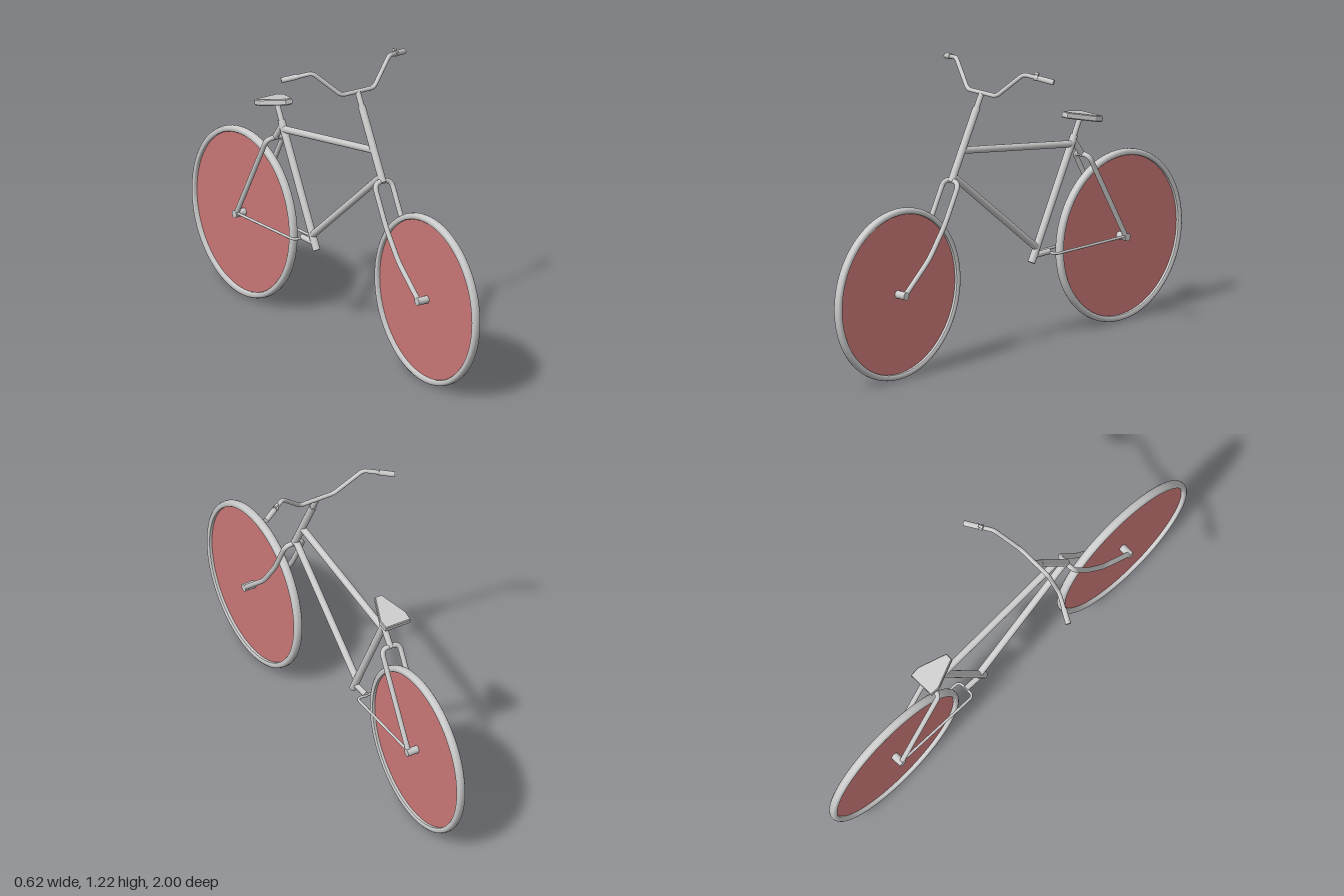
import * as THREE from 'three';

const grey = new THREE.MeshStandardMaterial({ color: 0xcccccc });
const red = new THREE.MeshStandardMaterial({ color: 0xcc7777 });
const V = (x, y, z) => new THREE.Vector3(x, y, z);

const AXLE_Y = 0.36, AXLE_Z = 0.643, WHEEL_R = 0.357, STAY_X = 0.042;

function mesh(name, geometry, material = grey) {
  const m = new THREE.Mesh(geometry, material);
  m.name = name;
  return m;
}

// Straight capped rod between two points
function rod(name, a, b, radius, radiusEnd = radius) {
  const dir = b.clone().sub(a);
  const m = mesh(name, new THREE.CylinderGeometry(radiusEnd, radius, dir.length(), 20));
  m.position.copy(a).add(b).multiplyScalar(0.5);
  m.quaternion.setFromUnitVectors(V(0, 1, 0), dir.normalize());
  return m;
}

// Bent tube: straight runs joined by rounded corners
function bentTube(name, points, radius, corner) {
  const path = new THREE.CurvePath();
  let from = points[0];
  for (let i = 1; i < points.length - 1; i++) {
    const p = points[i];
    const toward = (q) => {
      const d = q.clone().sub(p);
      return p.clone().add(d.setLength(Math.min(corner, d.length() * 0.45)));
    };
    const start = toward(points[i - 1]), end = toward(points[i + 1]);
    path.add(new THREE.LineCurve3(from, start));
    path.add(new THREE.QuadraticBezierCurve3(start, p, end));
    from = end;
  }
  path.add(new THREE.LineCurve3(from, points[points.length - 1]));
  return mesh(name, new THREE.TubeGeometry(path, 140, radius, 14));
}

// Mirror a half path (starting on the centre plane) into a full one
function mirrored(half) {
  const left = half.filter((p) => p.x > 0);
  const right = left.map((p) => V(-p.x, p.y, p.z)).reverse();
  return [...right, ...left];
}

function wheel(name, z) {
  const g = new THREE.Group();
  g.name = name;
  // Tyre: rounded section swept round the axle
  const w = 0.017, inner = WHEEL_R - 0.024;
  const section = [
    [inner, -w * 0.75], [inner + 0.004, -w], [WHEEL_R - 0.009, -w], [WHEEL_R - 0.003, -w * 0.75],
    [WHEEL_R, -w * 0.3], [WHEEL_R, w * 0.3], [WHEEL_R - 0.003, w * 0.75], [WHEEL_R - 0.009, w],
    [inner + 0.004, w], [inner, w * 0.75], [inner, -w * 0.75],
  ].map(([r, h]) => new THREE.Vector2(r, h));
  const tyre = mesh('tyre', new THREE.LatheGeometry(section, 72));
  // Thin disc in place of spokes
  const disc = mesh('wheelDisc', new THREE.CylinderGeometry(inner + 0.006, inner + 0.006, 0.003, 72), red);
  const axle = mesh('axle', new THREE.CylinderGeometry(0.016, 0.016, 0.104, 20));
  g.add(tyre, disc, axle);
  g.rotation.z = Math.PI / 2;
  g.position.set(0, AXLE_Y, z);
  return g;
}

function saddle() {
  // Outline: narrow nose at +y, wide tail at -y
  const s = new THREE.Shape();
  s.moveTo(-0.014, 0.079);
  s.lineTo(0.014, 0.079);
  s.lineTo(0.036, 0.02);
  s.lineTo(0.058, -0.038);
  s.lineTo(0.056, -0.079);
  s.lineTo(-0.056, -0.079);
  s.lineTo(-0.058, -0.038);
  s.lineTo(-0.036, 0.02);
  s.closePath();
  const geo = new THREE.ExtrudeGeometry(s, {
    depth: 0.018, bevelEnabled: true, bevelSize: 0.003, bevelThickness: 0.004, bevelSegments: 1,
  });
  geo.translate(0, 0, -0.009);
  geo.rotateX(Math.PI / 2);
  const m = mesh('saddle', geo);
  m.position.set(0, 0.905, -0.41);
  m.rotation.x = -0.23;
  return m;
}

export function createModel() {
  const bike = new THREE.Group();
  bike.name = 'bicycle';

  bike.add(wheel('frontWheel', AXLE_Z), wheel('rearWheel', -AXLE_Z));

  // Main frame
  const frame = new THREE.Group();
  frame.name = 'frame';
  frame.add(
    rod('headTube', V(0, 0.77, 0.33), V(0, 1.055, 0.181), 0.0155),
    rod('topTube', V(0, 0.89, 0.265), V(0, 0.795, -0.37), 0.0145),
    rod('downTube', V(0, 0.79, 0.315), V(0, 0.4, -0.165), 0.0145),
    rod('seatTube', V(0, 0.342, -0.136), V(0, 0.83, -0.385), 0.0155),
    rod('seatPost', V(0, 0.82, -0.38), V(0, 0.9, -0.42), 0.011),
    rod('chainStayRoot', V(0, 0.37, -0.15), V(0, 0.37, -0.238), 0.012),
    rod('seatStayRoot', V(0, 0.81, -0.378), V(0, 0.74, -0.43), 0.013),
  );
  bike.add(frame);

  // Front fork: arched crown, legs sweeping forward to the axle
  bike.add(bentTube('frontFork', mirrored([
    V(STAY_X, 0.775, 0.327), V(STAY_X, 0.61, 0.412),
    V(STAY_X, 0.487, 0.5), V(STAY_X, AXLE_Y, AXLE_Z),
  ]), 0.0105, 0.035));

  // Rear stays
  bike.add(bentTube('seatStays', mirrored([
    V(STAY_X, 0.742, -0.428), V(STAY_X, AXLE_Y, -AXLE_Z),
  ]), 0.0105, 0.03));
  bike.add(bentTube('chainStays', mirrored([
    V(STAY_X, 0.367, -0.236), V(STAY_X, AXLE_Y + 0.004, -AXLE_Z),
  ]), 0.0055, 0.022));

  // Steering
  const steering = new THREE.Group();
  steering.name = 'steering';
  const bend = V(0.19, 1.213, 0.105), tip = V(0.303, 1.188, 0.046);
  steering.add(
    rod('stem', V(0, 1.04, 0.189), V(0, 1.11, 0.152), 0.0115),
    bentTube('handlebar', mirrored([V(0.08, 1.11, 0.152), bend, tip.clone().lerp(bend, 0.05)]), 0.009, 0.018),
  );
  for (const side of [1, -1]) {
    const flip = (p) => V(p.x * side, p.y, p.z);
    const gripStart = bend.clone().lerp(tip, 0.5);
    steering.add(rod(side > 0 ? 'leftGrip' : 'rightGrip', flip(gripStart), flip(tip), 0.0115));
  }
  // Small thumb lever beside the left grip
  const collar = bend.clone().lerp(tip, 0.36);
  steering.add(
    rod('leverCollar', collar, bend.clone().lerp(tip, 0.47), 0.0125),
    rod('thumbLever', collar.clone().add(V(-0.004, 0.016, -0.004)), collar.clone().add(V(0.014, 0.013, -0.01)), 0.006),
  );
  bike.add(steering, saddle());

  return bike;
}
